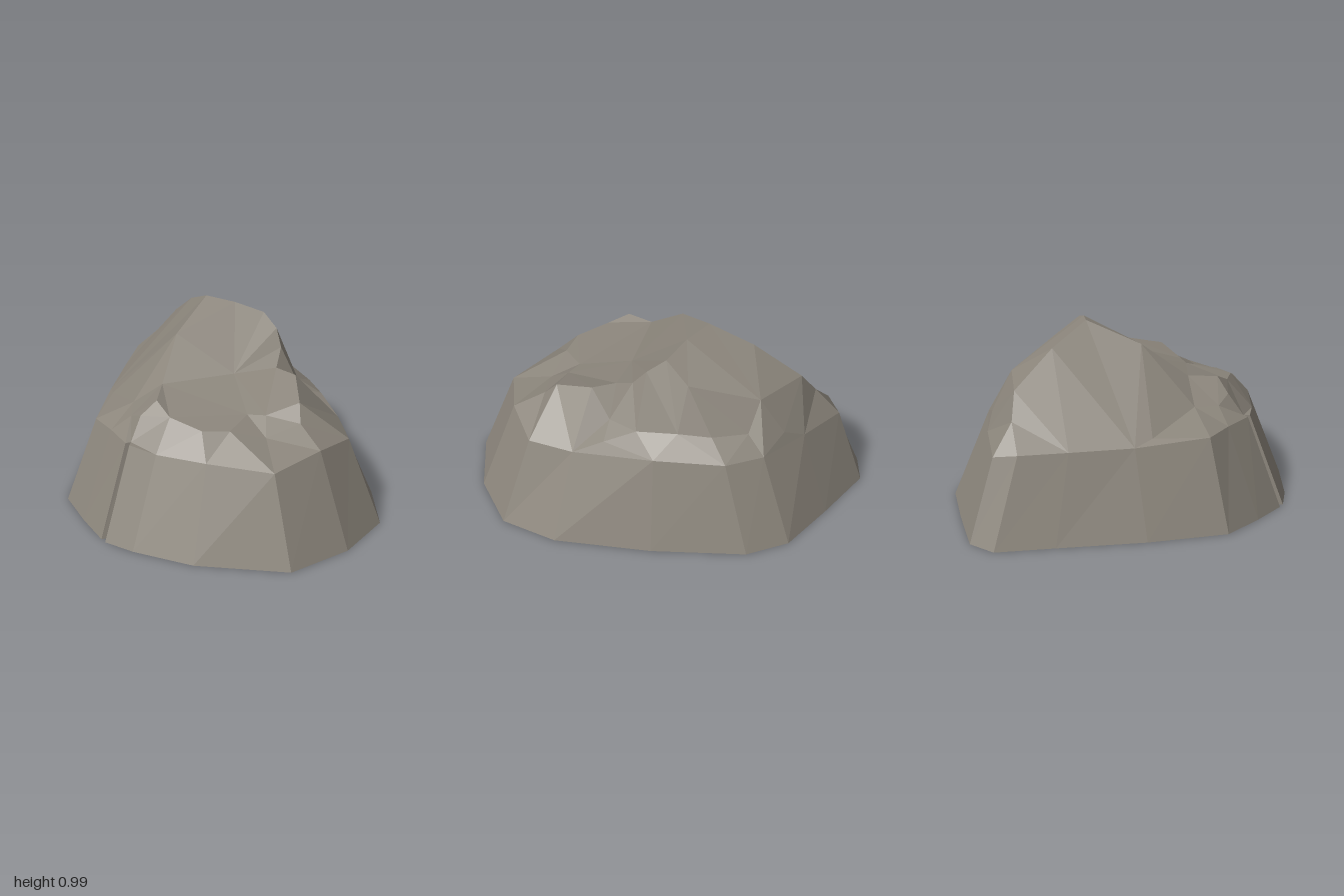
import * as THREE from 'three';

// Cliff columns around the rock: foot x, z, then rim x, y, z
const COLUMNS = [
  [-1.0, -0.4, -0.82, 0.45, -0.33], [-0.94, -0.55, -0.82, 0.43, -0.46],
  [-0.64, -0.72, -0.55, 0.46, -0.59], [-0.35, -0.87, -0.27, 0.47, -0.69],
  [-0.11, -0.865, -0.06, 0.47, -0.68], [0.34, -0.66, 0.27, 0.48, -0.52],
  [0.78, -0.4, 0.62, 0.46, -0.28], [0.985, -0.16, 0.8, 0.46, -0.11],
  [1.0, 0.17, 0.8, 0.5, 0.15], [0.89, 0.51, 0.72, 0.465, 0.43],
  [0.47, 0.76, 0.41, 0.48, 0.58], [0.15, 0.85, 0.15, 0.475, 0.655],
  [-0.02, 0.87, -0.01, 0.485, 0.675], [-0.035, 0.83, -0.025, 0.485, 0.645],
  [-0.055, 0.86, -0.04, 0.485, 0.67], [-0.25, 0.78, -0.2, 0.48, 0.6],
  [-0.47, 0.67, -0.36, 0.47, 0.54], [-0.68, 0.3, -0.56, 0.45, 0.2],
  [-0.87, -0.12, -0.71, 0.45, -0.1],
];

// Crown features, x, y, z
const PEAK_RIDGE = [
  [-0.7, 0.58, -0.4], [-0.6, 0.71, -0.42], [-0.38, 0.88, -0.29], [-0.18, 0.985, -0.17],
  [-0.03, 0.965, -0.23], [0.11, 0.92, -0.3], [0.21, 0.86, -0.28], [0.27, 0.78, -0.24],
  [-0.15, 0.87, 0.12], [-0.06, 0.69, 0.35],
];
const BACK_SLOPE = [
  [-0.31, 0.72, -0.54], [0.04, 0.82, -0.42], [-0.42, 0.53, -0.61], [-0.22, 0.57, -0.6],
  [-0.03, 0.58, -0.57], [0.12, 0.58, -0.48], [0.3, 0.56, -0.36], [0.47, 0.53, -0.34],
  [0.4, 0.58, -0.24],
];
const LEDGE = [
  [0.17, 0.7, 0.04], [0.32, 0.715, -0.13], [0.45, 0.715, -0.12], [0.59, 0.66, 0.04],
  [0.48, 0.61, 0.18], [0.4, 0.61, 0.23], [0.55, 0.54, 0.27], [0.42, 0.59, 0.4],
  [0.32, 0.6, 0.5], [0.13, 0.625, 0.52], [0.02, 0.675, 0.49], [-0.03, 0.6, 0.56],
  [-0.12, 0.56, 0.53], [-0.2, 0.57, 0.42], [-0.48, 0.48, 0.27], [0.64, 0.58, 0.1],
];

// Signed area in plan; negative means the triangle faces up
const area = (a, b, c) => (b[0] - a[0]) * (c[2] - a[2]) - (b[2] - a[2]) * (c[0] - a[0]);
const faceUp = ([a, b, c]) => (area(a, b, c) > 0 ? [a, c, b] : [a, b, c]);

function insideLoop(x, z, loop) {
  let inside = false;
  loop.forEach((p, i) => {
    const q = loop[(i + 1) % loop.length];
    if ((p[2] > z) !== (q[2] > z) &&
        x < p[0] + ((z - p[2]) / (q[2] - p[2])) * (q[0] - p[0])) inside = !inside;
  });
  return inside;
}

function inCircle([a, b, c], p) {
  const [A, B, C] = [a, b, c].map((v) => {
    const x = v[0] - p[0], z = v[2] - p[2];
    return [x, z, x * x + z * z];
  });
  const det = A[0] * (B[1] * C[2] - B[2] * C[1]) - A[1] * (B[0] * C[2] - B[2] * C[0])
    + A[2] * (B[0] * C[1] - B[1] * C[0]);
  return det * Math.sign(area(a, b, c)) > 0;
}

// Joins scattered points into a terrain of triangles
function terrain(points) {
  const outer = [[-900, 0, -800], [950, 0, -810], [10, 0, 1000]];
  let tris = [outer];
  for (const p of points) {
    const bad = tris.filter((t) => inCircle(t, p));
    tris = tris.filter((t) => !bad.includes(t));
    const edges = bad.flatMap(([a, b, c]) => [[a, b], [b, c], [c, a]]);
    for (const e of edges) {
      const shared = edges.some((f) => f !== e && f.includes(e[0]) && f.includes(e[1]));
      if (!shared) tris.push([e[0], e[1], p]);
    }
  }
  return tris.filter((t) => !t.some((p) => outer.includes(p)));
}

function addPart(group, name, tris, material) {
  const geometry = new THREE.BufferGeometry();
  geometry.setAttribute('position', new THREE.Float32BufferAttribute(tris.flat(2), 3));
  geometry.computeVertexNormals();
  const mesh = new THREE.Mesh(geometry, material);
  mesh.name = name;
  group.add(mesh);
}

export function createModel() {
  const group = new THREE.Group();
  group.name = 'boulder';
  const stone = new THREE.MeshStandardMaterial({ color: 0x8c867c, flatShading: true });
  stone.name = 'warm grey stone';

  const foot = COLUMNS.map(([x, z]) => [x, 0, z]);
  const rim = COLUMNS.map(([, , x, y, z]) => [x, y, z]);

  // Sloping cliff sides between foot and rim
  const sides = foot.flatMap((a, i) => {
    const j = (i + 1) % foot.length;
    return [[foot[j], a, rim[i]], [foot[j], rim[i], rim[j]]];
  });
  addPart(group, 'cliffSides', sides, stone);

  // Craggy crown with the peak and the lower ledge
  const crown = terrain([...rim, ...PEAK_RIDGE, ...BACK_SLOPE, ...LEDGE])
    .filter(([a, b, c]) => insideLoop((a[0] + b[0] + c[0]) / 3, (a[2] + b[2] + c[2]) / 3, rim))
    .map(faceUp);
  addPart(group, 'crown', crown, stone);

  // Flat underside
  const outline = foot.map(([x, , z]) => new THREE.Vector2(x, z));
  const under = THREE.ShapeUtils.triangulateShape(outline, [])
    .map((t) => faceUp(t.map((i) => foot[i])).reverse());
  addPart(group, 'underside', under, stone);

  return group;
}
